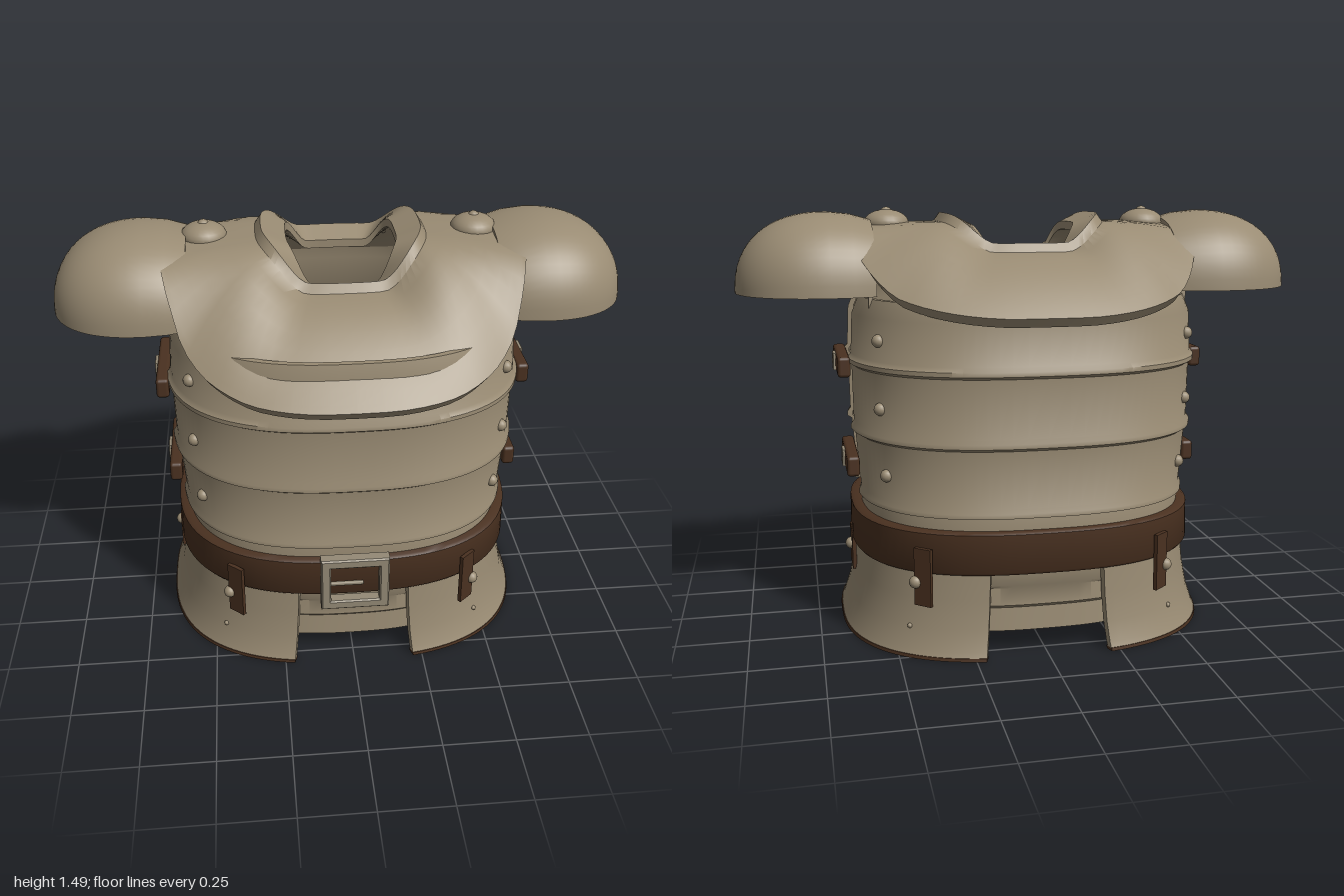
import * as THREE from 'three';
import { toCreasedNormals } from 'three/addons/utils/BufferGeometryUtils.js';
import { RoundedBoxGeometry } from 'three/addons/geometries/RoundedBoxGeometry.js';

const mat = (name, color) => new THREE.MeshStandardMaterial({ name, color, side: THREE.DoubleSide });

// Point on a rounded-square ring: half width a, half depth b, centre zc
function ring(t, a, b, y, n = 2.6, zc = -0.015) {
  const c = Math.cos(t), s = Math.sin(t), e = 2 / n;
  return new THREE.Vector3(a * Math.sign(c) * Math.abs(c) ** e, y, zc + b * Math.sign(s) * Math.abs(s) ** e);
}

// Joins closed cross-sections; each section runs out along the outside and back along the inside
function loft(sections, closed) {
  const m = sections[0].length, count = sections.length, index = [];
  const quad = (a, b, c, d) => index.push(a, b, c, a, c, d);
  for (let i = 0; i < (closed ? count : count - 1); i++) {
    const j = (i + 1) % count;
    for (let k = 0; k < m; k++) {
      const l = (k + 1) % m;
      quad(i * m + k, j * m + k, j * m + l, i * m + l);
    }
  }
  if (!closed) {
    const e = (count - 1) * m;
    for (let k = 0; k < m / 2 - 1; k++) {
      quad(k, k + 1, m - 2 - k, m - 1 - k);
      quad(e + m - 1 - k, e + m - 2 - k, e + k + 1, e + k);
    }
  }
  const pts = sections.flat();
  // Turn all faces outward
  let volume = 0;
  for (let i = 0; i < index.length; i += 3) {
    volume += pts[index[i]].dot(pts[index[i + 1]].clone().cross(pts[index[i + 2]]));
  }
  if (volume < 0) index.reverse();
  const g = new THREE.BufferGeometry().setFromPoints(pts);
  g.setIndex(index);
  return toCreasedNormals(g, 0.7);
}

// Curved wall from rows [half width, half depth, y], between angles t0 and t1
function band(rows, t0, t1, thick, steps = 48) {
  const closed = t1 - t0 > 6.28, sections = [];
  for (let i = 0; i < steps + (closed ? 0 : 1); i++) {
    const t = t0 + (t1 - t0) * i / steps;
    const outer = rows.map(([a, b, y]) => ring(t, a, b, y));
    const inner = rows.map(([a, b, y]) => ring(t, a - thick, b - thick, y)).reverse();
    sections.push([...outer, ...inner]);
  }
  return loft(sections, closed);
}

function interp(table, v) {
  let i = 1;
  while (i < table.length - 1 && v > table[i][0]) i++;
  const [x0, y0] = table[i - 1], [x1, y1] = table[i];
  return y0 + (y1 - y0) * THREE.MathUtils.clamp((v - x0) / (x1 - x0), 0, 1);
}

// Rectangular buckle frame with an open middle
function frame(w, h, border, depth) {
  const rect = (P, x, y) => new P([[-x, -y], [x, -y], [x, y], [-x, y]].map(p => new THREE.Vector2(...p)));
  const s = rect(THREE.Shape, w / 2, h / 2);
  s.holes.push(rect(THREE.Path, w / 2 - border, h / 2 - border));
  const bevel = border * 0.15;
  return new THREE.ExtrudeGeometry(s, { depth, bevelSize: bevel, bevelThickness: bevel, bevelOffset: -bevel, bevelSegments: 1 });
}

// Shoulder mantle with raised collar
function mantleGeometry() {
  const hem = [[-0.6, 1.12], [-0.45, 1.18], [-0.3, 1.29], [-0.2, 1.37], [0, 1.4], [0.2, 1.37],
    [0.3, 1.27], [0.36, 1.17], [0.45, 1.1], [0.55, 1.045], [0.6, 1.03]];
  const ks = [0, 0.15, 0.3, 0.45, 0.6, 0.75, 0.87, 0.95, 1], sections = [];
  for (let i = 0; i < 72; i++) {
    const t = i / 72 * Math.PI * 2;
    const rim = ring(t, 0.275, 0.24, 0, 3, -0.035);
    const lift = THREE.MathUtils.smoothstep(Math.abs(rim.x), 0.12, 0.28);
    rim.y = (rim.z < 0 ? 1.37 : 1.335) + lift * (rim.z < 0 ? 0.1 : 0.135);
    const lip = ring(t, 0.19, 0.17, rim.y - 0.035, 4, -0.03);
    const base = ring(t, 0.295, 0.26, rim.y - 0.03, 3, -0.035);
    const edge = ring(t, 0.625, 0.605, 0, 2.5, 0);
    edge.y = interp(hem, edge.z) + 0.03;
    const skin = (k, d) => {
      const p = base.clone().lerp(edge, k);
      p.y = base.y + (edge.y - base.y) * k ** 1.75 - d;
      if (d) { p.x *= 0.965; p.z *= 0.965; }
      return p;
    };
    const lower = lip.clone().setY(lip.y - 0.03);
    sections.push([lip, rim, ...ks.map(k => skin(k, 0)), ...ks.map(k => skin(k, 0.03)).reverse(), lower]);
  }
  return loft(sections, true);
}

// Hollow shoulder dome, open below and toward the body
function pauldronGeometry(side) {
  const sections = [], arc = 28;
  const section = (x, xin, s) => {
    const shell = (px, w, h, k) => Array.from({ length: arc + 1 }, (_, i) => {
      const a = Math.PI * i / arc, c = Math.cos(a);
      return new THREE.Vector3(side * px, 1.2 + h * s * Math.sin(a) ** 0.88, -0.03 + w * s * Math.sign(c) * Math.abs(c) ** 0.88);
    });
    sections.push([...shell(x, 0.31, 0.275), ...shell(xin, 0.28, 0.245).reverse()]);
  };
  section(0.53, 0.53, 0.9);
  section(0.6, 0.6, 0.97);
  for (let i = 0; i <= 16; i++) {
    const f = i / 16 * Math.PI / 2, q = Math.sin(f) ** 0.88;
    section(0.68 + 0.32 * q, 0.68 + 0.29 * q, Math.max(Math.cos(f), 0) ** 0.88);
  }
  return loft(sections, false);
}

export function createModel() {
  const steel = mat('tan plate', 0x998b73), leather = mat('brown leather', 0x4a3120), buckle = mat('buckle metal', 0x948a76);
  const model = new THREE.Group();
  const add = (name, geo, material, x = 0, y = 0, z = 0, ry = 0) => {
    const m = new THREE.Mesh(geo, material);
    m.name = name;
    m.position.set(x, y, z);
    m.rotation.y = ry;
    model.add(m);
    return m;
  };
  const rivetGeo = new THREE.SphereGeometry(0.022, 14, 10);
  const angleAtZ = (z, b) => Math.asin((z / b) ** 1.3);
  const angleAtX = (x, a) => Math.acos((x / a) ** 1.3);

  // Breastplate and backplate: three ridged lames each, open at the flanks
  const lames = [[0.585, 0.53, 1.19], [0.61, 0.545, 1.13], [0.617, 0.55, 0.99], [0.63, 0.562, 0.975], [0.63, 0.562, 0.96],
    [0.615, 0.548, 0.95], [0.612, 0.545, 0.75], [0.623, 0.553, 0.735], [0.623, 0.553, 0.72], [0.608, 0.54, 0.71],
    [0.592, 0.53, 0.51], [0.6, 0.54, 0.495], [0.6, 0.54, 0.48]];
  // Under-lames at the waist that show in the skirt openings
  const under = [[0.57, 0.515, 0.52], [0.585, 0.53, 0.44], [0.57, 0.52, 0.3], [0.572, 0.522, 0.24], [0.565, 0.515, 0.23],
    [0.57, 0.52, 0.17], [0.562, 0.512, 0.16], [0.57, 0.52, 0.08]];
  const tp = angleAtZ(0.11, 0.545), tu = angleAtZ(0.04, 0.52);
  add('breastplate', band(lames, tp, Math.PI - tp, 0.02), steel);
  add('backplate', band(lames, Math.PI + tp, 2 * Math.PI - tp, 0.02), steel);
  add('frontUnderLames', band(under, tu, Math.PI - tu, 0.015), steel);
  add('backUnderLames', band(under, Math.PI + tu, 2 * Math.PI - tu, 0.015), steel);

  // Belt with large front buckle
  add('belt', band([[0.61, 0.548, 0.437], [0.62, 0.557, 0.43], [0.622, 0.559, 0.3], [0.615, 0.552, 0.29]], 0, Math.PI * 2, 0.035, 80), leather);
  add('beltBuckle', frame(0.24, 0.21, 0.035, 0.035), buckle, 0, 0.355, 0.535);
  add('beltBuckleProng', new RoundedBoxGeometry(0.15, 0.014, 0.014, 2, 0.005), buckle, -0.045, 0.355, 0.562);

  add('mantle', mantleGeometry(), steel);

  for (const s of [1, -1]) {
    const sideName = s > 0 ? 'left' : 'right';
    // Flared skirt half with a dark hem
    const tg = angleAtX(0.215, 0.66), mid = s > 0 ? 0 : Math.PI;
    add(sideName + 'Skirt', band([[0.6, 0.545, 0.32], [0.613, 0.55, 0.2], [0.632, 0.56, 0.1], [0.655, 0.577, 0.03], [0.663, 0.585, 0.01]],
      mid - tg, mid + tg, 0.022), steel);
    add(sideName + 'SkirtHem', band([[0.665, 0.587, 0.011], [0.667, 0.589, 0]], mid - tg, mid + tg, 0.03), leather);

    // Shoulder dome and boss
    add(sideName + 'Pauldron', pauldronGeometry(s), steel);
    add(sideName + 'ShoulderBoss', new THREE.SphereGeometry(0.08, 24, 14), steel, s * 0.47, 1.433, -0.03).scale.y = 0.6;
    add(sideName + 'ShoulderBossTip', new THREE.SphereGeometry(0.022, 12, 8), steel, s * 0.47, 1.468, -0.03);

    // Panel closing the armhole
    const panel = new THREE.CylinderGeometry(0.265, 0.265, 0.015, 40).rotateZ(Math.PI / 2);
    add(sideName + 'ArmholePanel', panel, steel, s * 0.55, 1.17, -0.02);

    // Flank straps with small buckles
    for (const [x, y, z] of [[0.64, 0.945, -0.003], [0.618, 0.592, -0.013]]) {
      add(sideName + 'FlankStrap', new RoundedBoxGeometry(0.045, 0.072, 0.355, 2, 0.012), leather, s * x, y, z);
      add(sideName + 'FlankBuckle', frame(0.07, 0.06, 0.013, 0.012), buckle, s * (x + 0.018), y, z, s * Math.PI / 2);
      add(sideName + 'FlankProng', new THREE.BoxGeometry(0.008, 0.008, 0.05), buckle, s * (x + 0.026), y, z);
    }

    // Side tab below the belt
    add(sideName + 'SideTab', new THREE.BoxGeometry(0.014, 0.14, 0.135), leather, s * 0.618, 0.25, -0.02);
    add(sideName + 'TabRivet', rivetGeo, steel, s * 0.625, 0.26, -0.02);

    for (const f of [1, -1]) {
      // Corner tabs hanging over the skirt
      const p = ring(angleAtX(0.415, 0.628) * f, 0.628, 0.566, 0.28);
      const ry = Math.atan2(s * p.x, p.z);
      add(sideName + 'CornerTab', new THREE.BoxGeometry(0.065, 0.2, 0.014), leather, s * p.x, 0.28, p.z, ry);
      const q = ring(angleAtX(0.44, 0.628) * f, 0.628, 0.566, 0.26);
      add(sideName + 'TabRivet', rivetGeo, steel, s * q.x, q.y, q.z);
      const r = ring(angleAtX(0.46, 0.633) * f, 0.633, 0.56, 0.1);
      add(sideName + 'SkirtRivet', new THREE.SphereGeometry(0.009, 8, 6), steel, s * r.x, r.y, r.z);

      // Plate rivets, one per lame
      for (const [y, a, b] of [[1.06, 0.614, 0.548], [0.83, 0.613, 0.546], [0.6, 0.6, 0.535]]) {
        const v = ring(angleAtZ(0.345, b) * f, a, b, y);
        add(sideName + 'PlateRivet', rivetGeo, steel, s * v.x, v.y, v.z);
      }
    }
  }
  return model;
}
